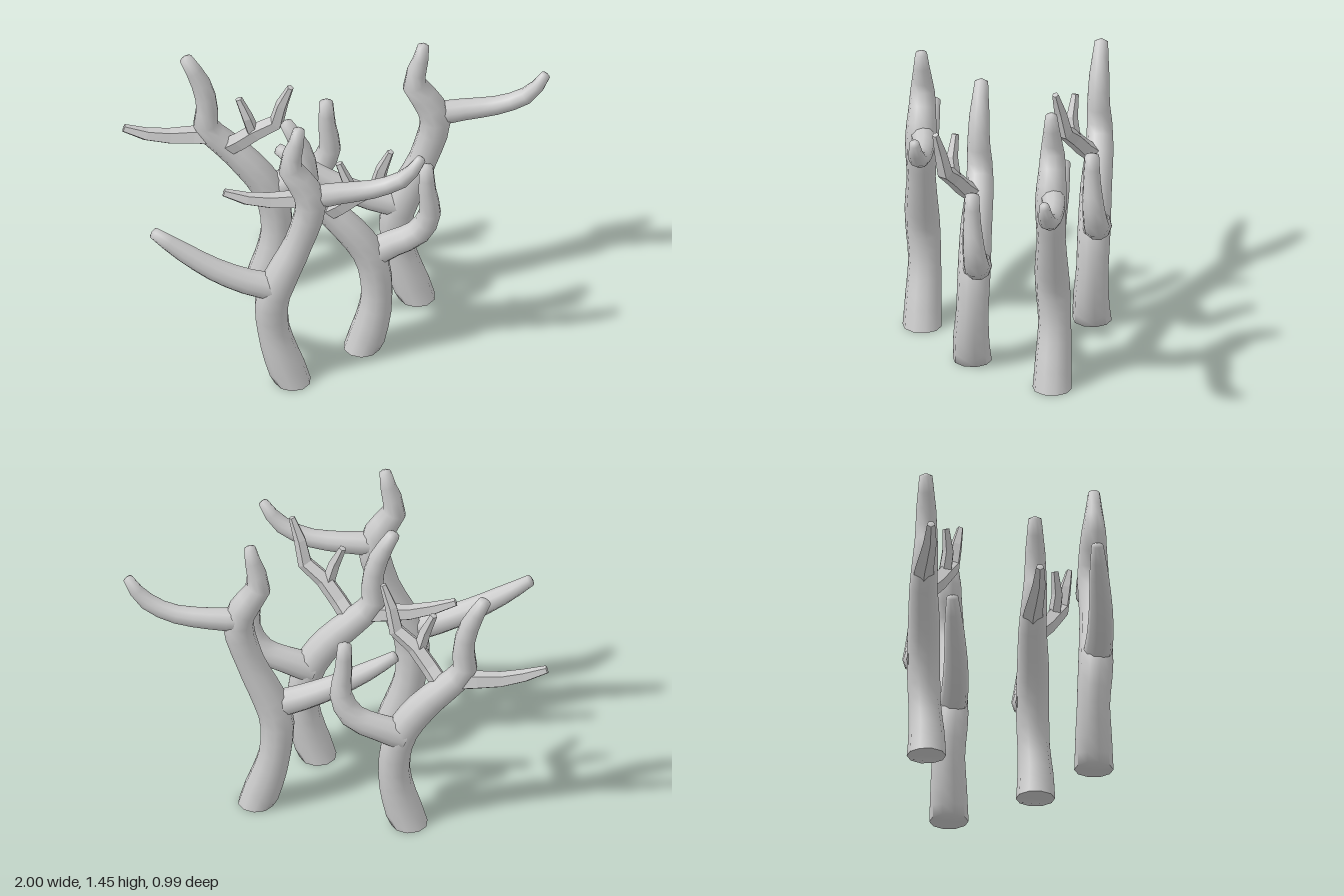
import * as THREE from 'three';
import { toCreasedNormals } from 'three/addons/utils/BufferGeometryUtils.js';

// Tapered limb through points [x, y, z, radius]; closed at both ends
function limb(name, pts, { sides = 10, perSpan = 2, foot = false, angular = false } = {}) {
  const curve = new THREE.CatmullRomCurve3(
    pts.map(([x, y, z]) => new THREE.Vector3(x, y, z)), false, 'centripetal');
  const n = (pts.length - 1) * perSpan;
  const frames = curve.computeFrenetFrames(n, false);
  const position = [], index = [];
  for (let ring = -1; ring <= n + 1; ring++) {
    const i = THREE.MathUtils.clamp(ring, 0, n);
    const cap = i !== ring;
    const t = curve.getUtoTmapping(i / n) * (pts.length - 1);
    const k = Math.min(Math.floor(t), pts.length - 2);
    const r = THREE.MathUtils.lerp(pts[k][3], pts[k + 1][3], t - k);
    const center = curve.getPointAt(i / n);
    // slightly domed tip
    if (ring > n) center.addScaledVector(frames.tangents[n], r * (angular ? 0.1 : 0.4));
    for (let s = 0; s < sides; s++) {
      const a = s / sides * Math.PI * 2;
      const p = center.clone();
      if (!cap) {
        p.addScaledVector(frames.normals[i], Math.cos(a) * r)
          .addScaledVector(frames.binormals[i], Math.sin(a) * r);
      }
      if (foot && i === 0) p.y = 0;
      position.push(p.x, p.y, p.z);
    }
  }
  for (let ring = 0; ring < n + 2; ring++) {
    for (let s = 0; s < sides; s++) {
      const a = ring * sides + s, b = ring * sides + (s + 1) % sides;
      const c = a + sides, d = b + sides;
      if (ring > 0) index.push(a, b, c);
      if (ring < n + 1) index.push(b, d, c);
    }
  }
  let geometry = new THREE.BufferGeometry();
  geometry.setAttribute('position', new THREE.Float32BufferAttribute(position, 3));
  geometry.setIndex(index);
  if (angular) geometry.computeVertexNormals();
  else geometry = toCreasedNormals(geometry, 1.3);
  const mesh = new THREE.Mesh(geometry,
    new THREE.MeshStandardMaterial({ color: 0xcccccc, flatShading: angular }));
  mesh.name = name;
  return mesh;
}

// Tall tree: forked crown and one long low branch
function tallTree() {
  const tree = new THREE.Group();
  tree.add(
    limb('trunk', [
      [-0.17, 0, 0.39, 0.092], [-0.22, 0.14, 0.39, 0.086], [-0.26, 0.3, 0.39, 0.077],
      [-0.265, 0.48, 0.4, 0.083], [-0.225, 0.6, 0.4, 0.08], [-0.14, 0.8, 0.39, 0.068],
      [-0.085, 1.03, 0.385, 0.075], [-0.135, 1.14, 0.385, 0.066], [-0.185, 1.23, 0.39, 0.057],
      [-0.16, 1.33, 0.39, 0.042], [-0.14, 1.44, 0.39, 0.028]], { foot: true }),
    limb('lowBranch', [
      [-0.22, 0.54, 0.4, 0.07], [-0.35, 0.575, 0.42, 0.065], [-0.52, 0.65, 0.43, 0.057],
      [-0.7, 0.765, 0.425, 0.045], [-0.82, 0.855, 0.42, 0.028]]),
    limb('highBranch', [
      [-0.1, 1.04, 0.38, 0.06], [0.02, 1.05, 0.355, 0.053], [0.23, 1.08, 0.34, 0.043],
      [0.36, 1.15, 0.345, 0.04], [0.43, 1.255, 0.345, 0.024]]));
  return tree;
}

// Short tree: bent trunk, upright side branch and faceted twigs
function shortTree() {
  const tree = new THREE.Group();
  const angular = { sides: 5, perSpan: 1, angular: true };
  tree.add(
    limb('trunk', [
      [0.145, 0, 0.11, 0.092], [0.185, 0.12, 0.11, 0.086], [0.215, 0.3, 0.1, 0.076],
      [0.185, 0.51, 0.095, 0.078], [0.075, 0.68, 0.1, 0.074], [-0.03, 0.79, 0.1, 0.066],
      [-0.115, 0.89, 0.11, 0.06], [-0.11, 1.01, 0.115, 0.053], [-0.14, 1.14, 0.115, 0.047],
      [-0.21, 1.28, 0.115, 0.031]], { foot: true }),
    limb('uprightBranch', [
      [0.17, 0.51, 0.09, 0.075], [0.28, 0.56, 0.065, 0.066], [0.4, 0.62, 0.055, 0.062],
      [0.46, 0.73, 0.06, 0.054], [0.45, 0.88, 0.07, 0.042], [0.445, 1.01, 0.07, 0.034]]),
    limb('sideBranch', [
      [-0.06, 0.83, 0.1, 0.052], [-0.2, 0.835, 0.11, 0.045], [-0.34, 0.84, 0.13, 0.037],
      [-0.43, 0.87, 0.142, 0.03], [-0.5, 0.895, 0.145, 0.02]], angular),
    limb('forwardBranch', [
      [-0.02, 0.77, 0.11, 0.046], [0.06, 0.86, 0.17, 0.044], [0.14, 0.95, 0.21, 0.042],
      [0.22, 1.01, 0.23, 0.038], [0.24, 1.11, 0.245, 0.032], [0.285, 1.235, 0.265, 0.016]], angular),
    limb('forwardTwig', [
      [0.11, 0.92, 0.2, 0.032], [0.085, 1.01, 0.215, 0.03], [0.04, 1.12, 0.205, 0.018]], angular));
  return tree;
}

export function createModel() {
  const model = new THREE.Group();
  model.name = 'grove';
  // Each kind of tree stands twice
  const place = (name, tree, x, z) => {
    tree.name = name;
    tree.position.set(x, 0, z);
    model.add(tree);
  };
  place('frontTallTree', tallTree(), 0, 0);
  place('backTallTree', tallTree(), 0.56, -0.69);
  place('frontShortTree', shortTree(), 0, 0);
  place('backShortTree', shortTree(), -0.485, -0.5);
  return model;
}
